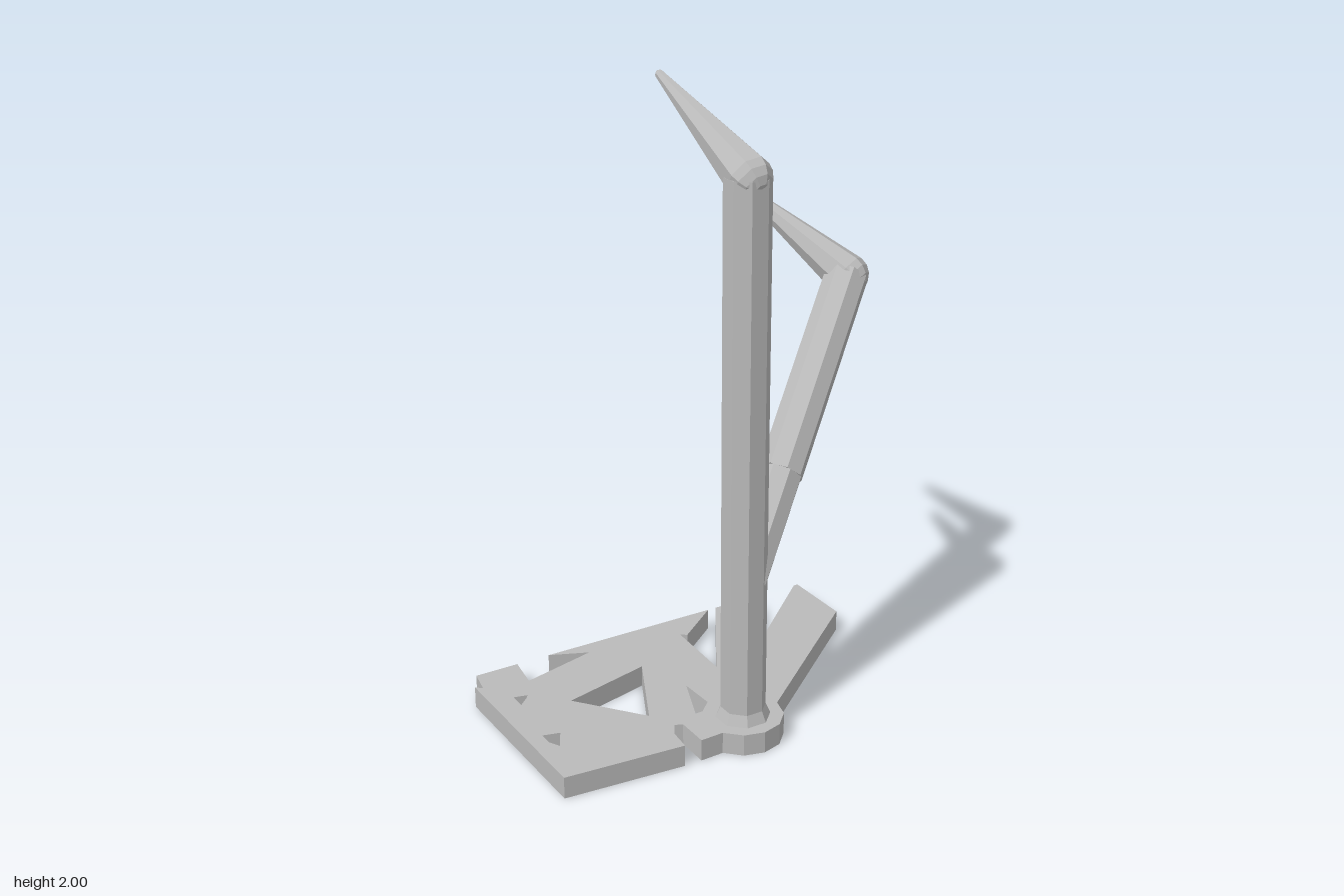
import * as THREE from 'three';

const UP = new THREE.Vector3(0, 1, 0);
const V = (x, y, z) => new THREE.Vector3(x, y, z);
const R = 0.0705; // octagon corner radius of the bars

export function createModel() {
  const model = new THREE.Group();
  const grey = new THREE.MeshStandardMaterial({ color: 0xbababa, flatShading: true });
  grey.name = 'plainGrey';

  function add(name, geometry) {
    const mesh = new THREE.Mesh(geometry, grey);
    mesh.name = name;
    model.add(mesh);
    return mesh;
  }
  // Stands a y-axis geometry at one point, aimed at another
  function aim(mesh, from, to) {
    mesh.position.copy(from);
    mesh.quaternion.setFromUnitVectors(UP, to.clone().sub(from).normalize());
    return mesh;
  }
  // Octagonal bar between two points
  function bar(name, from, to, roll, radius = R) {
    const length = from.distanceTo(to);
    const g = new THREE.CylinderGeometry(radius, radius, length, 8);
    g.rotateY(roll).translate(0, length / 2, 0);
    return aim(add(name, g), from, to);
  }
  // Tapered prong with a rounded root and a small round tip
  function prong(name, from, to) {
    const length = from.distanceTo(to), tip = 0.014;
    const profile = [];
    for (let i = 0; i <= 4; i++) {
      const a = (i / 4 - 1) * Math.PI / 2;
      profile.push(new THREE.Vector2(Math.cos(a) * R, Math.sin(a) * R));
    }
    for (let i = 0; i <= 3; i++) {
      const a = i / 3 * Math.PI / 2;
      profile.push(new THREE.Vector2(Math.cos(a) * tip, length + Math.sin(a) * tip));
    }
    profile[0].x = profile[profile.length - 1].x = 0;
    const g = new THREE.LatheGeometry(profile, 8);
    g.rotateY(Math.PI / 8);
    return aim(add(name, g), from, to);
  }

  // Base plate: outline with angular cut-outs, as x, z pairs
  const points = list => list.map(([x, z]) => new THREE.Vector2(x, z));
  const boss = [];
  for (let i = 0; i <= 5; i++) {
    const a = (i * 30) * Math.PI / 180;
    boss.push([-0.035 + 0.128 * Math.cos(a), 0.315 + 0.128 * Math.sin(a)]);
  }
  const outline = new THREE.Shape(points([
    [-0.67, -0.257], [-0.65, -0.24], [-0.635, -0.322], [-0.49, -0.322],
    [-0.506, -0.206], [-0.255, -0.27], [-0.377, -0.322], [0.233, -0.322],
    [0.08, -0.206], [0.061, -0.22], [0.05, 0.027], [0.262, -0.322],
    [0.43, -0.322], [0.266, -0.045], [0.585, -0.322], [0.6, -0.322],
    [0.6, -0.085], ...boss, [-0.223, 0.382], [-0.223, 0.275],
    [-0.248, 0.264], [-0.273, 0.307], [-0.28, 0.382], [-0.67, 0.35],
  ]));
  const holes = [
    [[-0.449, -0.027], [-0.154, -0.1], [-0.287, 0.178]],
    [[-0.158, 0.24], [-0.095, 0.08], [-0.09, 0.2], [-0.133, 0.24]],
    [[-0.593, -0.138], [-0.55, -0.128], [-0.557, -0.117], [-0.593, -0.084]],
    [[-0.618, 0.11], [-0.565, 0.124], [-0.6, 0.19], [-0.618, 0.155]],
  ];
  for (const h of holes) outline.holes.push(new THREE.Path(points(h)));
  const plate = new THREE.ExtrudeGeometry(outline, { depth: 0.07, bevelEnabled: false });
  plate.rotateX(Math.PI / 2).translate(0, 0.07, 0);
  add('basePlate', plate);

  // Upright post with a small flare at its foot
  const postTop = V(-0.035, 1.765, 0.318);
  bar('post', V(-0.035, 0.06, 0.318), postTop, Math.PI / 8);
  const flare = new THREE.CylinderGeometry(R, 0.086, 0.035, 8);
  flare.rotateY(Math.PI / 8);
  add('postFlare', flare).position.set(-0.035, 0.0865, 0.318);
  prong('topProng', postTop, V(-0.088, 1.985, -0.07));

  // Slanted branch in two lengths, the lower one rolled slightly
  const root = V(-0.035, 0.525, 0.318);
  const elbow = V(0.6, 1.272, -0.083);
  const joint = root.clone().lerp(elbow, 0.34);
  bar('lowerBranch', root, joint, Math.PI / 8 + 0.15, 0.0695);
  bar('upperBranch', joint, elbow, Math.PI / 8);
  prong('branchProng', elbow, V(0.424, 1.503, -0.43));

  return model;
}
